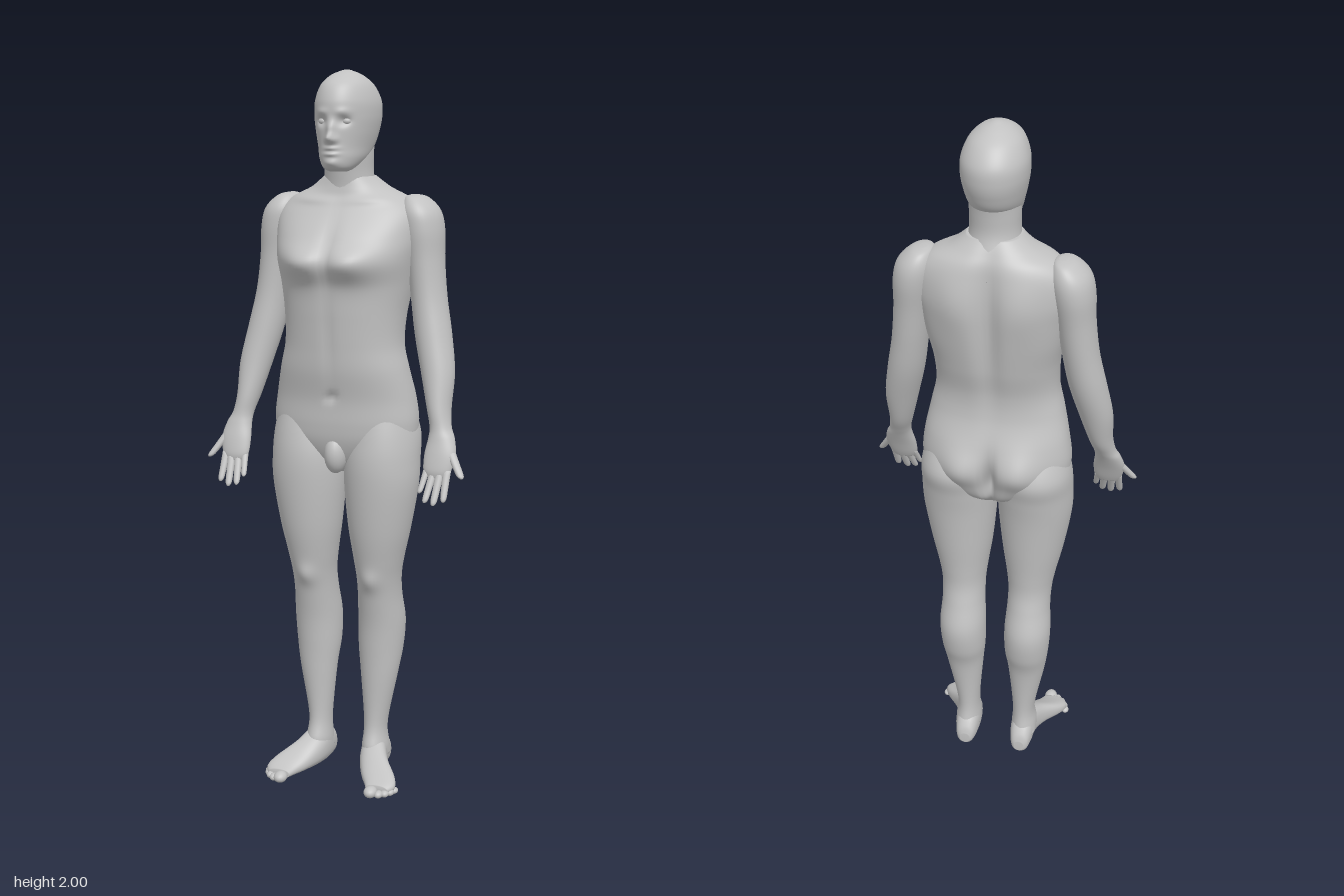
import * as THREE from 'three';

const skin = new THREE.MeshStandardMaterial({ color: 0xc2c2c2 });
skin.name = 'plainGrey';

const bell = (v, centre, width) => Math.exp(-(((v - centre) / width) ** 2));
const spow = (v, e) => Math.sign(v) * Math.abs(v) ** e;

// Smoothly interpolate rows of numbers
function smoothRows(rows, sub) {
  const out = [];
  const at = (i) => rows[Math.min(Math.max(i, 0), rows.length - 1)];
  for (let i = 0; i < rows.length - 1; i++) {
    for (let k = 0; k < sub; k++) {
      const t = k / sub;
      out.push(at(i).map((b, c) => {
        const a = at(i - 1)[c], d = at(i + 1)[c], e = at(i + 2)[c];
        return b + 0.5 * t * (d - a + t * (2 * a - 5 * b + 4 * d - e + t * (3 * (b - d) + e - a)));
      }));
    }
  }
  out.push(rows[rows.length - 1]);
  return out;
}

// Closed skin over level sections [y, xMin, xMax, zBack, zFront, zWidest], listed upwards
function loft(rows, { segs = 32, sub = 6, power = 1, warp } = {}) {
  const full = rows.map((r) => (r.length > 5 ? r : [...r, (r[3] + r[4]) / 2]));
  const rings = smoothRows(full, sub);
  const pos = [], idx = [];
  rings.forEach(([y, x0, x1, zb, zf, zm]) => {
    for (let j = 0; j < segs; j++) {
      const a = (j / segs) * Math.PI * 2, s = Math.sin(a);
      const x = (x0 + x1) / 2 + ((x1 - x0) / 2) * spow(Math.cos(a), power);
      let z = zm + (s > 0 ? zf - zm : zm - zb) * spow(s, power);
      if (warp) z += warp(x, y, s);
      pos.push(x, y, z);
    }
  });
  for (let i = 0; i < rings.length - 1; i++) {
    for (let j = 0; j < segs; j++) {
      const k = (j + 1) % segs, a = i * segs + j, b = i * segs + k;
      idx.push(a, a + segs, b, b, a + segs, b + segs);
    }
  }
  // End caps
  [0, rings.length - 1].forEach((i) => {
    const [y, x0, x1, , , zm] = rings[i], c = pos.length / 3;
    pos.push((x0 + x1) / 2, y, zm);
    for (let j = 0; j < segs; j++) {
      const a = i * segs + j, b = i * segs + ((j + 1) % segs);
      if (i === 0) idx.push(c, a, b); else idx.push(c, b, a);
    }
  });
  const g = new THREE.BufferGeometry();
  g.setAttribute('position', new THREE.Float32BufferAttribute(pos, 3));
  g.setIndex(idx);
  g.computeVertexNormals();
  return g;
}

function ball(x, y, z, rx, ry, rz) {
  return new THREE.SphereGeometry(1, 20, 14).scale(rx, ry, rz).translate(x, y, z);
}

function mirrored(geo) {
  const g = geo.clone().scale(-1, 1, 1), ix = g.index.array;
  for (let i = 0; i < ix.length; i += 3) [ix[i], ix[i + 1]] = [ix[i + 1], ix[i]];
  g.computeVertexNormals();
  return g;
}

// Tapered finger from its tip up to the knuckle
function finger(base, tip, r) {
  const rows = [[-0.06, 0.3], [0, 0.65], [0.12, 0.85], [0.5, 0.95], [1, 1.1]].map(([t, k]) => {
    const [x, y, z] = tip.map((v, i) => v + (base[i] - v) * t);
    return [y, x - r * k, x + r * k, z - r * k, z + r * k];
  });
  return loft(rows, { segs: 14, sub: 3 });
}

// Chest, spine and seat modelling
function torsoWarp(x, y, s) {
  const ax = Math.abs(x);
  if (s > 0) {
    return s * (0.027 * bell(ax, 0.075, 0.06) * bell(y, 1.5, 0.045)
      - 0.012 * bell(x, 0, 0.02) * bell(y, 1.53, 0.08)
      - 0.005 * bell(x, 0, 0.015) * bell(y, 1.3, 0.12)
      - 0.012 * bell(x, 0, 0.012) * bell(y, 1.13, 0.014)
      + 0.007 * bell(ax, 0.09, 0.07) * bell(y, 1.655 + ax * 0.05, 0.012));
  }
  return -s * (0.022 * bell(x, 0, 0.03) * bell(y, 1.48, 0.2)
    - 0.014 * bell(ax, 0.09, 0.06) * bell(y, 1.56, 0.09)
    - 0.03 * bell(ax, 0.085, 0.06) * bell(y, 1.05, 0.06)
    + 0.04 * bell(x, 0, 0.014) * bell(y, 1.01, 0.07));
}

// Brow, sockets, nose, lips and chin
function faceWarp(x, y, s) {
  if (s <= 0) return 0;
  const ax = Math.abs(x);
  return s * (0.005 * bell(ax, 0.03, 0.02) * bell(y, 1.89, 0.01)
    - 0.014 * bell(ax, 0.032, 0.015) * bell(y, 1.866, 0.012)
    + bell(x, 0, 0.012) * (0.026 * bell(y, 1.822, 0.014) + 0.013 * bell(y, 1.848, 0.018))
    + 0.006 * bell(ax, 0.013, 0.007) * bell(y, 1.818, 0.008)
    + 0.008 * bell(x, 0, 0.02) * (bell(y, 1.796, 0.006) + bell(y, 1.781, 0.006))
    + 0.008 * bell(x, 0, 0.022) * bell(y, 1.758, 0.012));
}

const sym = (rows) => rows.map(([y, w, zb, zf, zm]) => [y, -w, w, zb, zf, zm]);

export function createModel() {
  const model = new THREE.Group();
  model.name = 'standingFigure';
  const add = (name, geo) => {
    const m = new THREE.Mesh(geo, skin);
    m.name = name;
    model.add(m);
  };
  const pair = (name, geo) => {
    add(name + 'Left', geo);
    add(name + 'Right', mirrored(geo));
  };

  add('torso', loft(sym([
    [0.91, 0.05, -0.08, 0.03, -0.02], [0.95, 0.13, -0.13, 0.06, -0.03],
    [1.0, 0.195, -0.145, 0.08, -0.03], [1.05, 0.208, -0.152, 0.088, -0.03],
    [1.12, 0.2, -0.145, 0.092, -0.03], [1.2, 0.183, -0.125, 0.108, -0.02],
    [1.27, 0.168, -0.125, 0.115, -0.02], [1.35, 0.17, -0.145, 0.122, -0.03],
    [1.43, 0.183, -0.16, 0.13, -0.05], [1.5, 0.195, -0.167, 0.15, -0.06],
    [1.56, 0.205, -0.167, 0.115, -0.07], [1.62, 0.203, -0.162, 0.065, -0.07],
    [1.66, 0.17, -0.155, 0.035, -0.07], [1.69, 0.11, -0.14, 0.025, -0.07],
    [1.72, 0.07, -0.12, 0.02, -0.06],
  ]), { segs: 96, sub: 8, power: 0.9, warp: torsoWarp }));

  add('neck', loft(sym([
    [1.62, 0.085, -0.15, 0.03, -0.06], [1.68, 0.074, -0.135, 0.024, -0.055],
    [1.73, 0.066, -0.12, 0.03, -0.05], [1.78, 0.066, -0.122, 0.04, -0.05],
    [1.83, 0.066, -0.13, 0.04, -0.05],
  ])));

  add('head', loft(sym([
    [1.735, 0.025, 0, 0.06, 0.03], [1.745, 0.042, -0.02, 0.083, 0.025],
    [1.77, 0.06, -0.07, 0.09, -0.01], [1.8, 0.07, -0.125, 0.088, -0.035],
    [1.84, 0.08, -0.148, 0.088, -0.045], [1.88, 0.086, -0.157, 0.088, -0.05],
    [1.92, 0.084, -0.153, 0.086, -0.05], [1.96, 0.068, -0.125, 0.065, -0.04],
    [1.985, 0.042, -0.085, 0.025, -0.03], [1.997, 0.015, -0.05, -0.01, -0.03],
    [2.0, 0.003, -0.033, -0.027, -0.03],
  ]), { segs: 112, sub: 11, warp: faceWarp }));
  pair('eye', ball(0.033, 1.866, 0.059, 0.013, 0.01, 0.012));

  // Plain rounded front of the pelvis
  add('pelvisFront', ball(0, 0.965, 0.055, 0.032, 0.055, 0.04));

  pair('arm', loft([
    [0.93, 0.268, 0.328, 0.062, 0.086], [0.95, 0.259, 0.338, 0.051, 0.087],
    [0.99, 0.258, 0.345, 0.032, 0.078], [1.03, 0.263, 0.336, 0.01, 0.065],
    [1.06, 0.262, 0.322, -0.008, 0.056], [1.11, 0.248, 0.315, -0.037, 0.049],
    [1.2, 0.223, 0.315, -0.07, 0.032], [1.3, 0.197, 0.298, -0.1, 0.015],
    [1.4, 0.18, 0.278, -0.118, 0.002], [1.5, 0.165, 0.267, -0.132, 0],
    [1.58, 0.15, 0.264, -0.145, 0.005], [1.63, 0.145, 0.251, -0.142, 0],
    [1.663, 0.155, 0.218, -0.122, -0.025], [1.672, 0.17, 0.19, -0.09, -0.06],
  ], { segs: 40 }));

  // Four fingers and the thumb
  [
    [[0.27, 0.95, 0.068], [0.26, 0.892, 0.102], 0.009],
    [[0.289, 0.945, 0.07], [0.278, 0.87, 0.112], 0.0105],
    [[0.308, 0.945, 0.072], [0.302, 0.865, 0.114], 0.011],
    [[0.326, 0.95, 0.07], [0.328, 0.875, 0.108], 0.0105],
    [[0.328, 1.0, 0.052], [0.369, 0.937, 0.085], 0.0125],
  ].forEach(([base, tip, r], i) => pair(i < 4 ? 'finger' + (i + 1) : 'thumb', finger(base, tip, r)));

  pair('leg', loft([
    [0.05, 0.05, 0.125, -0.11, 0], [0.08, 0.05, 0.125, -0.098, 0.018],
    [0.15, 0.053, 0.12, -0.09, 0], [0.3, 0.04, 0.148, -0.106, 0.004],
    [0.38, 0.031, 0.16, -0.13, 0.008], [0.46, 0.03, 0.165, -0.138, 0.015],
    [0.54, 0.035, 0.16, -0.118, 0.03], [0.6, 0.035, 0.162, -0.105, 0.043],
    [0.66, 0.028, 0.172, -0.106, 0.058], [0.75, 0.015, 0.192, -0.115, 0.075],
    [0.87, 0.004, 0.212, -0.128, 0.088], [0.95, 0.003, 0.214, -0.142, 0.09],
    [1.02, 0.012, 0.21, -0.155, 0.08], [1.1, 0.03, 0.19, -0.12, 0.06],
  ], {
    segs: 48,
    // Kneecap
    warp: (x, y, s) => (s > 0 ? 0.012 * s * bell(x, 0.095, 0.03) * bell(y, 0.6, 0.03) : 0),
  }));

  // Foot, lofted heel to ball and then laid flat
  pair('foot', loft([
    [-0.118, 0.07, 0.1, -0.045, -0.012], [-0.108, 0.06, 0.112, -0.07, -0.004],
    [-0.08, 0.052, 0.12, -0.1, -0.001], [-0.03, 0.05, 0.126, -0.112, -0.002],
    [0.02, 0.06, 0.148, -0.088, -0.003], [0.07, 0.083, 0.185, -0.058, -0.002],
    [0.105, 0.105, 0.196, -0.04, -0.002], [0.13, 0.118, 0.182, -0.03, -0.004],
  ], { power: 0.85 }).rotateX(Math.PI / 2));

  [[0.138, 0.144, 0.019], [0.16, 0.14, 0.0125], [0.175, 0.128, 0.012],
    [0.186, 0.113, 0.0115], [0.193, 0.097, 0.0105]].forEach(([x, z, r], i) =>
    pair('toe' + (i + 1), ball(x, r * 0.85, z, r, r * 0.85, r * 1.25)));

  return model;
}
